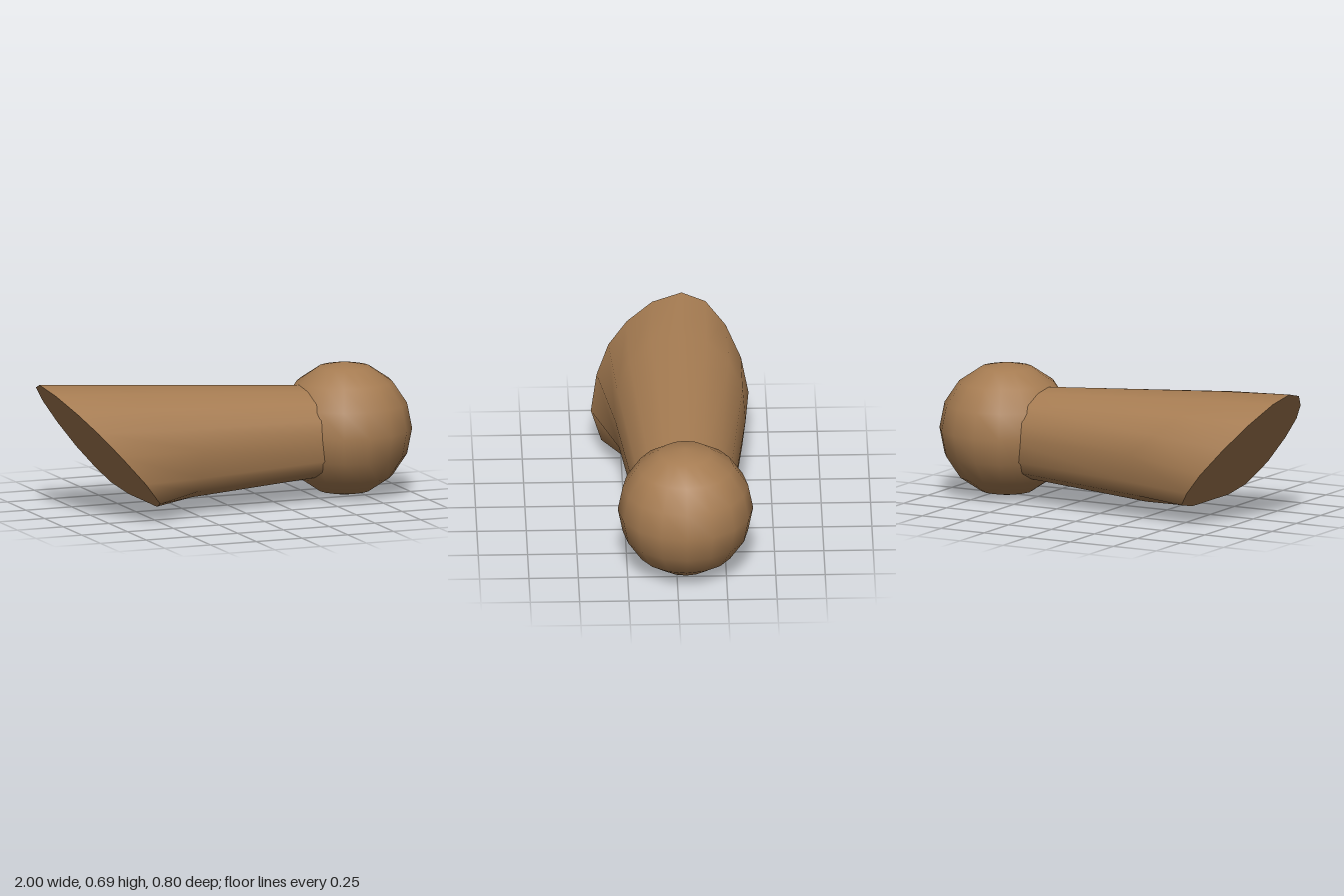
import * as THREE from 'three';

const SIDES = 16;
const CY = 0.345, CZ = -0.045;

// Outline of the slanted end as [z, y], from the top round the front
const CUT = [
  [-0.07, 0.675], [0.08, 0.64], [0.21, 0.565], [0.305, 0.475],
  [0.368, 0.357], [0.4, 0.215], [0.35, 0.1], [0.225, 0.063],
  [0.05, 0.065], [-0.15, 0.065], [-0.315, 0.1], [-0.375, 0.175],
  [-0.4, 0.28], [-0.365, 0.417], [-0.29, 0.546], [-0.19, 0.64],
];
const cutPoint = ([z, y]) => [-1 + (0.675 - y) * 0.852, y, z];

// Tapered cross-section: round above, squarer below
function sleevePoint(k, xAt) {
  const a = (k / SIDES) * Math.PI * 2;
  const c = Math.cos(a), s = Math.sin(a);
  const power = c < -1e-6 ? 0.68 : 1;
  const shape = (v) => Math.sign(v) * Math.pow(Math.abs(v), power);
  const x = xAt(c);
  const ry = 0.235 + 0.07 * (0.41 - x);
  const rz = 0.258 + 0.108 * (0.41 - x);
  return [x, CY + ry * shape(c), CZ + rz * shape(s)];
}

function sleeveGeometry() {
  const rings = [[], [], []];
  for (let k = 0; k < SIDES; k++) {
    rings[0].push(sleevePoint(k, () => 0.58));
    rings[1].push(sleevePoint(k, (c) => -0.25 - 0.35 * Math.max(0, c)));
    rings[2].push(cutPoint(CUT[k]));
  }
  const index = [];
  for (let r = 0; r < 2; r++) {
    for (let k = 0; k < SIDES; k++) {
      const n = (k + 1) % SIDES;
      const a = r * SIDES + k, b = r * SIDES + n;
      index.push(a, a + SIDES, b, b, a + SIDES, b + SIDES);
    }
  }
  const g = new THREE.BufferGeometry();
  g.setAttribute('position', new THREE.Float32BufferAttribute(rings.flat(2), 3));
  g.setIndex(index);
  g.computeVertexNormals();
  return g;
}

// Flat face closing the slanted end
function cutGeometry() {
  const points = [cutPoint([0, 0.36]), ...CUT.map(cutPoint)];
  const index = [];
  for (let k = 0; k < SIDES; k++) index.push(0, 1 + ((k + 1) % SIDES), 1 + k);
  const g = new THREE.BufferGeometry();
  g.setAttribute('position', new THREE.Float32BufferAttribute(points.flat(), 3));
  g.setIndex(index);
  g.computeVertexNormals();
  return g;
}

export function createModel() {
  const group = new THREE.Group();
  const brown = new THREE.MeshStandardMaterial({ color: 0xa67c52 });
  const add = (name, geometry) => {
    const mesh = new THREE.Mesh(geometry, brown);
    mesh.name = name;
    group.add(mesh);
    return mesh;
  };

  // Tapered sleeve and its slanted end
  add('sleeve', sleeveGeometry());
  add('sleeveEnd', cutGeometry());

  // Round ball at the narrow end
  add('ball', new THREE.SphereGeometry(0.343, 16, 8)).position.set(0.657, 0.343, CZ);

  return group;
}
